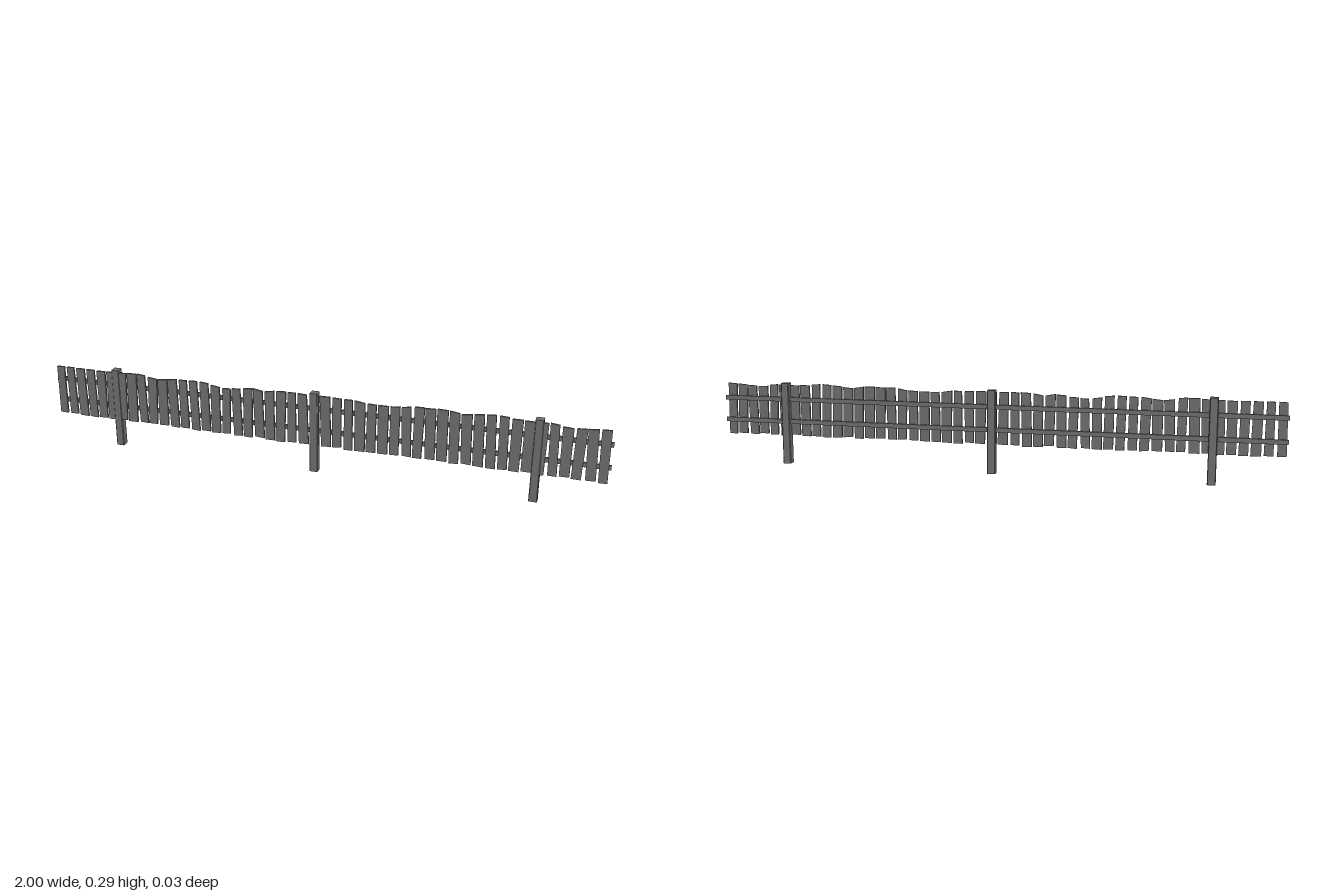
import * as THREE from 'three';

const wood = new THREE.MeshStandardMaterial({ color: 0x6c6c6c });
wood.name = 'greyWood';

// small seeded generator for the hand-cut irregularity
function makeRandom(seed) {
  return () => {
    seed = (seed * 16807) % 2147483647;
    return seed / 2147483647;
  };
}

// plank top height along the fence: [x, y]
const topLine = [
  [-1, 0.286], [-0.78, 0.284], [-0.66, 0.29], [-0.6, 0.277], [-0.5, 0.288], [-0.42, 0.288],
  [-0.33, 0.272], [-0.22, 0.288], [-0.19, 0.28], [-0.14, 0.288], [0.12, 0.287], [0.19, 0.28],
  [0.28, 0.278], [0.34, 0.288], [0.45, 0.291], [0.51, 0.283], [0.62, 0.294], [0.7, 0.286],
  [0.8, 0.287], [0.86, 0.279], [1, 0.288],
];
function topAt(x) {
  const i = Math.max(1, topLine.findIndex((p) => p[0] >= x));
  const [a, b] = [topLine[i - 1], topLine[i]];
  return THREE.MathUtils.mapLinear(x, a[0], b[0], a[1], b[1]);
}

// square post with a chamfered outline and a slightly bevelled top
function makePost(x) {
  const w = 0.0145, c = 0.002, h = 0.295;
  const s = new THREE.Shape([
    [w - c, -w], [w, -w + c], [w, w - c], [w - c, w],
    [-w + c, w], [-w, w - c], [-w, -w + c], [-w + c, -w],
  ].map(([px, py]) => new THREE.Vector2(px, py)));
  const geo = new THREE.ExtrudeGeometry(s, { depth: h, steps: 1, bevelEnabled: false, });
  geo.rotateX(-Math.PI / 2);
  // pull the top ring in a little
  const body = new THREE.Mesh(geo, wood);
  const pos = geo.attributes.position;
  for (let i = 0; i < pos.count; i++) {
    if (pos.getY(i) > h / 2) {
      pos.setX(i, pos.getX(i) * 0.96);
      pos.setZ(i, pos.getZ(i) * 0.96);
    }
  }
  geo.computeVertexNormals();
  body.position.x = x;
  body.name = 'post';
  return body;
}

// plank: a four-cornered outline with uneven ends and a slight lean
function makePlank(x, rand) {
  const jitter = (amount) => (rand() - 0.5) * amount;
  const half = 0.0165 + jitter(0.003);
  const lean = jitter(0.006);
  const bottom = 0.102 + jitter(0.006);
  const taper = jitter(0.003);
  const clampX = (v) => THREE.MathUtils.clamp(v, -0.998, 0.993);
  const left = clampX(x - half - lean), right = clampX(x + half - lean);
  const topLeft = clampX(x - half + lean + taper), topRight = clampX(x + half + lean - taper);
  const shape = new THREE.Shape([
    new THREE.Vector2(left, bottom + jitter(0.003)),
    new THREE.Vector2(right, bottom + jitter(0.003)),
    new THREE.Vector2(topRight, topAt(topRight) + jitter(0.003)),
    new THREE.Vector2(topLeft, topAt(topLeft) + jitter(0.003)),
  ]);
  const geo = new THREE.ExtrudeGeometry(shape, { depth: 0.0075, bevelEnabled: false });
  geo.translate(0, 0, 0.0052);
  const mesh = new THREE.Mesh(geo, wood);
  mesh.name = 'plank';
  return mesh;
}

export function createModel() {
  const fence = new THREE.Group();
  fence.name = 'fence';

  // posts
  for (const x of [-0.757, -0.003, 0.762]) fence.add(makePost(x));

  // two long rails behind the planks
  for (const y of [0.154, 0.235]) {
    const rail = new THREE.Mesh(new THREE.BoxGeometry(2, 0.016, 0.0085), wood);
    rail.position.set(0, y, 0.001);
    rail.name = 'rail';
    fence.add(rail);
  }

  // row of uneven planks
  const planks = new THREE.Group();
  planks.name = 'planks';
  const rand = makeRandom(4711);
  const count = 49;
  for (let i = 0; i < count; i++) {
    planks.add(makePlank(-0.98 + (i * 1.957) / (count - 1), rand));
  }
  fence.add(planks);
  return fence;
}
